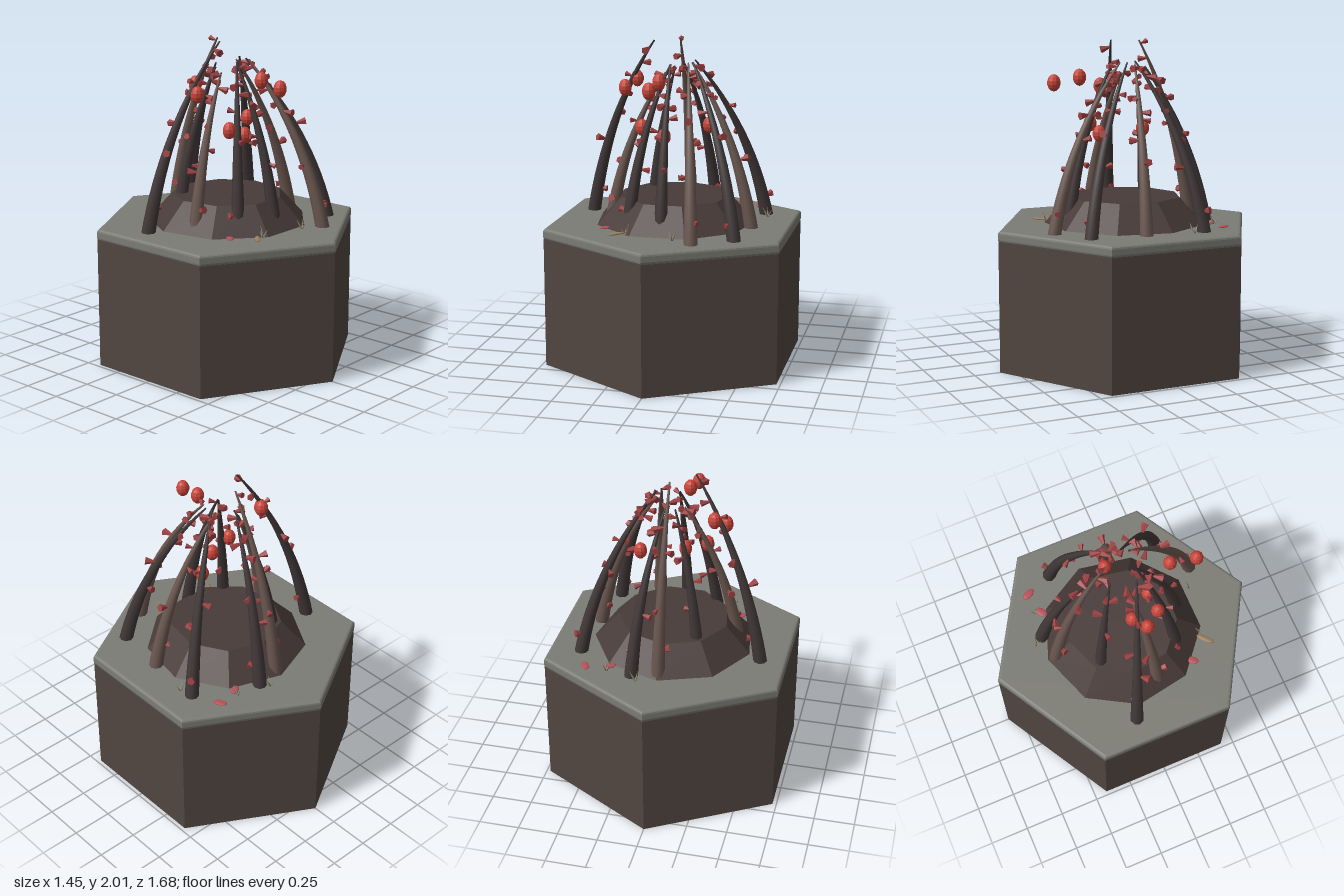
import * as THREE from 'three';

const mat = (color, flatShading = true) => new THREE.MeshStandardMaterial({ color, flatShading });
const MATS = {
  stone: mat(0x524640), slab: mat(0x7c7c75), soil: mat(0x483b39),
  dark: mat(0x423838, false), brown: mat(0x6b5750, false),
  bloom: mat(0xa04344), fruit: mat(0xc8453a), petal: mat(0xb85058, false),
  straw: mat(0x8f8a70), leaf: mat(0x9a7d5c, false),
};
const UP = new THREE.Vector3(0, 1, 0);

function add(group, name, geometry, material, x = 0, y = 0, z = 0) {
  const mesh = new THREE.Mesh(geometry, material);
  mesh.name = name;
  mesh.position.set(x, y, z);
  group.add(mesh);
  return mesh;
}

// Tube whose rings shrink from the base radius to a thin tip
function taperedTube(curve, r0, r1) {
  const rings = 16, sides = 8;
  const geo = new THREE.TubeGeometry(curve, rings, 1, sides, false);
  const pos = geo.attributes.position;
  const v = new THREE.Vector3();
  for (let i = 0; i <= rings; i++) {
    const t = i / rings;
    const center = curve.getPointAt(t);
    const r = r0 + (r1 - r0) * Math.pow(t, 1.15);
    for (let j = 0; j <= sides; j++) {
      const k = i * (sides + 1) + j;
      v.fromBufferAttribute(pos, k).sub(center).multiplyScalar(r).add(center);
      pos.setXYZ(k, v.x, v.y, v.z);
    }
  }
  return geo;
}

// Stems: base x, base z, tip x, tip y, tip z, colour
const STEMS = [
  [-0.57, -0.14, -0.12, 2.0, 0.04, 'dark'],
  [-0.39, 0.08, -0.06, 1.8, 0.0, 'brown'],
  [-0.23, 0.28, -0.01, 1.86, 0.08, 'dark'],
  [0.0, 0.38, -0.01, 1.86, 0.08, 'dark'],
  [0.23, 0.57, 0.1, 1.87, 0.08, 'brown'],
  [0.46, 0.43, 0.12, 1.87, 0.04, 'dark'],
  [0.5, 0.09, 0.1, 1.86, -0.02, 'brown'],
  [0.53, -0.28, 0.12, 1.88, -0.01, 'dark'],
  [0.16, -0.48, 0.03, 1.84, -0.12, 'dark'],
  [0.0, -0.45, 0.01, 2.0, -0.09, 'brown'],
  [-0.2, -0.23, -0.02, 1.82, -0.08, 'dark'],
];

function makeStem([bx, bz, tx, ty, tz, color], index) {
  const stem = new THREE.Group();
  stem.name = 'stem';
  const baseY = 0.86;
  const curve = new THREE.QuadraticBezierCurve3(
    new THREE.Vector3(bx, baseY, bz),
    new THREE.Vector3(bx * 0.76 + tx * 0.24, baseY + (ty - baseY) * 0.58, bz * 0.76 + tz * 0.24),
    new THREE.Vector3(tx, ty, tz));
  const radius = t => 0.043 + (0.005 - 0.043) * Math.pow(t, 1.15);
  add(stem, 'stalk', taperedTube(curve, 0.043, 0.005), MATS[color]);

  // Funnel blossoms spiral up the stalk, wide end outward
  const bloom = new THREE.CylinderGeometry(0.025, 0.006, 0.065, 5);
  bloom.translate(0, 0.025, 0);
  const heights = [0.13, 0.38, 0.54, 0.68, 0.79, 0.88, 0.96];
  heights.forEach((h, i) => {
    const t = h + 0.025 * Math.sin(index * 2.3 + i);
    const angle = index * 1.7 + i * 2.4;
    const dir = new THREE.Vector3(Math.cos(angle), 0.3 * Math.sin(i * 1.9 + index), Math.sin(angle)).normalize();
    const p = curve.getPointAt(Math.min(t, 0.98)).addScaledVector(dir, radius(t) * (i ? 0.9 : 0.3));
    const mesh = add(stem, 'blossom', bloom, MATS.bloom, p.x, p.y, p.z);
    mesh.quaternion.setFromUnitVectors(UP, dir);
    mesh.scale.setScalar(0.85 + 0.15 * Math.sin(index + i * 1.3));
  });
  return stem;
}

// Splayed tuft of dry spikes
function makeTuft(x, z, turn) {
  const tuft = new THREE.Group();
  tuft.name = 'dryTuft';
  const blade = new THREE.ConeGeometry(0.009, 0.08, 4);
  blade.translate(0, 0.04, 0);
  for (let i = 0; i < 4; i++) {
    const a = turn + i * 1.9;
    const spike = add(tuft, 'spike', blade, MATS.straw);
    const dir = new THREE.Vector3(Math.cos(a) * 0.5, 1, Math.sin(a) * 0.5).normalize();
    spike.quaternion.setFromUnitVectors(UP, dir);
    spike.scale.setScalar(1 - i * 0.12);
  }
  tuft.position.set(x, 0.87, z);
  return tuft;
}

export function createModel() {
  const model = new THREE.Group();
  model.name = 'hexagonalPlanter';

  // Hexagonal pedestal
  add(model, 'pedestal', new THREE.CylinderGeometry(0.838, 0.838, 0.81, 6), MATS.stone, 0, 0.405, 0);

  // Bevelled slab on top
  const bevel = 0.018;
  const hex = new THREE.Shape();
  for (let i = 0; i < 6; i++) {
    const a = Math.PI / 2 + i * Math.PI / 3;
    const r = 0.84 - bevel / Math.cos(Math.PI / 6);
    hex[i ? 'lineTo' : 'moveTo'](Math.cos(a) * r, Math.sin(a) * r);
  }
  hex.closePath();
  const slab = new THREE.ExtrudeGeometry(hex, {
    depth: 0.07 - 2 * bevel, bevelEnabled: true, bevelSize: bevel, bevelThickness: bevel, bevelSegments: 3,
  });
  slab.rotateX(-Math.PI / 2);
  add(model, 'slab', slab, MATS.slab, 0, 0.805 + bevel, 0);

  // Nine-sided soil mound
  add(model, 'soilMound', new THREE.CylinderGeometry(0.345, 0.505, 0.17, 9, 1, false, Math.PI), MATS.soil, 0, 0.955, 0);

  STEMS.forEach((s, i) => model.add(makeStem(s, i)));

  // Oval fruits
  const fruit = new THREE.SphereGeometry(0.041, 10, 7);
  fruit.scale(1, 1.28, 1);
  for (const [x, y, z] of [[-0.31, 1.7, 0.03], [-0.25, 1.75, -0.04], [-0.17, 1.48, 0.16],
    [-0.03, 1.78, 0.29], [-0.05, 1.75, 0.45], [0.21, 1.48, -0.02], [-0.03, 1.43, 0.16]]) {
    add(model, 'fruit', fruit, MATS.fruit, x, y, z);
  }

  // Fallen petals and a dry leaf
  const flake = new THREE.SphereGeometry(1, 10, 6);
  for (const [x, z, turn, len, wide, m] of [[0.31, -0.42, 0.6, 0.042, 0.025, 'petal'],
    [0.455, -0.45, -1.1, 0.045, 0.025, 'petal'], [-0.36, 0.33, 0.9, 0.04, 0.023, 'petal'],
    [-0.26, 0.46, 0.75, 0.06, 0.018, 'leaf']]) {
    const mesh = add(model, m === 'leaf' ? 'dryLeaf' : 'fallenPetal', flake, MATS[m], x, 0.882, z);
    mesh.scale.set(len, 0.007, wide);
    mesh.rotation.y = turn;
  }

  // Dry tufts around the mound
  [[0.12, -0.53], [0.32, -0.46], [0.55, -0.2], [0.1, 0.51], [-0.2, 0.45]]
    .forEach(([x, z], i) => model.add(makeTuft(x, z, i * 1.3)));

  return model;
}
